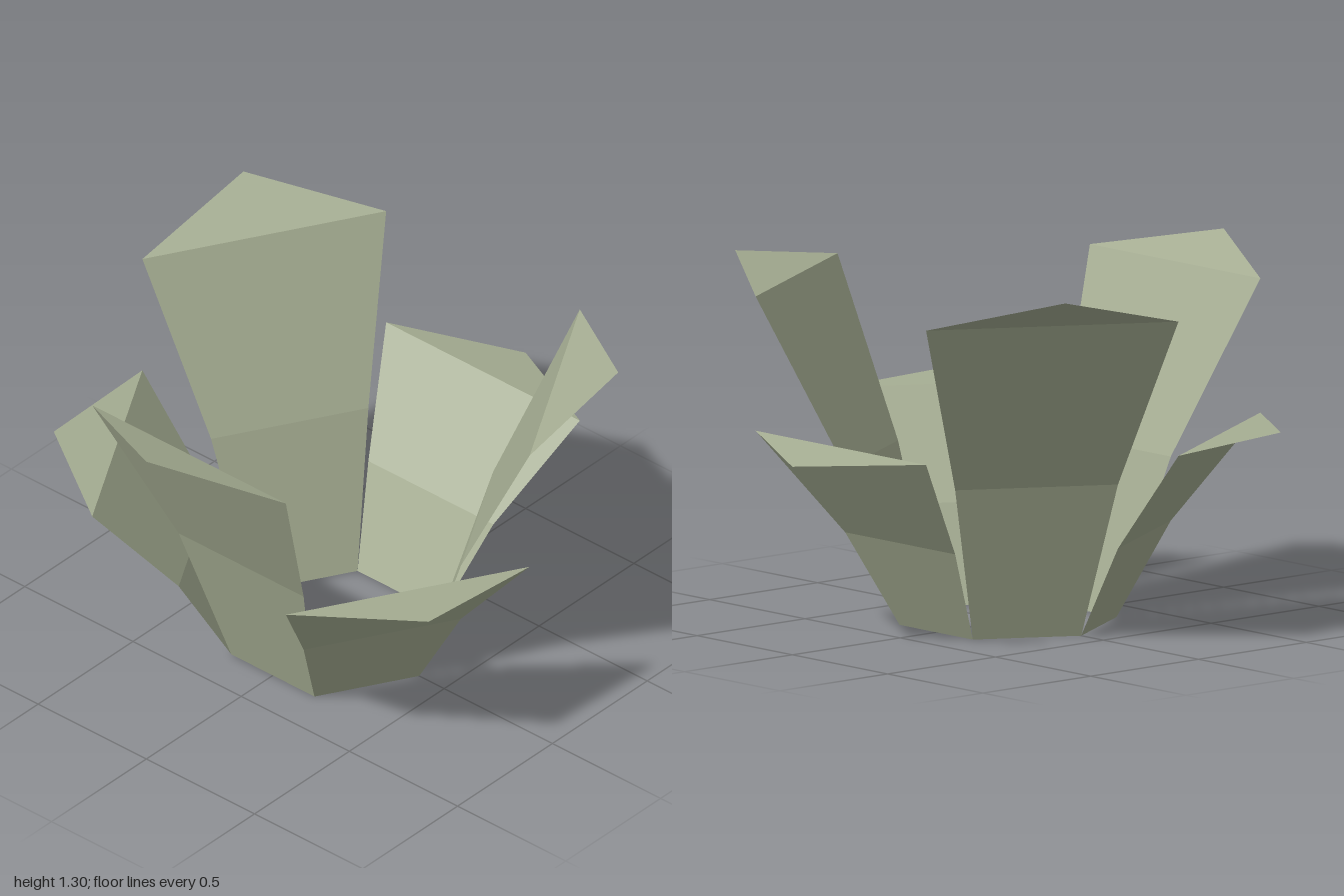
import * as THREE from 'three';

const material = new THREE.MeshStandardMaterial({
  color: 0xa5ad92, flatShading: true, side: THREE.DoubleSide,
});

// Distance of each cross-section from the axis: base, bend, rim.
const RADII = [0.333, 0.5, 0.775];

// One folded petal pointing along +x: two tapered panels and a pointed flap.
function petalGeometry(heights, tipHeight) {
  const points = [];
  RADII.forEach((r, i) => {
    const half = r * Math.tan(Math.PI / 6);
    points.push(r, heights[i], half, r, heights[i], -half);
  });
  points.push(1, tipHeight, 0);

  const index = [];
  for (let i = 0; i < 4; i += 2) index.push(i, i + 1, i + 3, i, i + 3, i + 2);
  index.push(4, 5, 6);

  const geometry = new THREE.BufferGeometry();
  geometry.setAttribute('position', new THREE.Float32BufferAttribute(points, 3));
  geometry.setIndex(index);
  const flat = geometry.toNonIndexed();
  flat.computeVertexNormals();
  return flat;
}

export function createModel() {
  const model = new THREE.Group();
  model.name = 'openFlower';

  // Short and tall petals alternate around the hexagonal opening;
  // each flap is folded at a slightly different height.
  const tips = [0.664, 1.252, 0.723, 1.267, 0.723, 1.298];
  tips.forEach((tip, i) => {
    const tall = i % 2 === 1;
    const heights = tall ? [0, 0.56, 1.178] : [0, 0.334, 0.704];
    const petal = new THREE.Mesh(petalGeometry(heights, tip), material);
    petal.name = tall ? 'tallPetal' : 'shortPetal';
    petal.rotation.y = -i * Math.PI / 3;
    model.add(petal);
  });

  return model;
}
